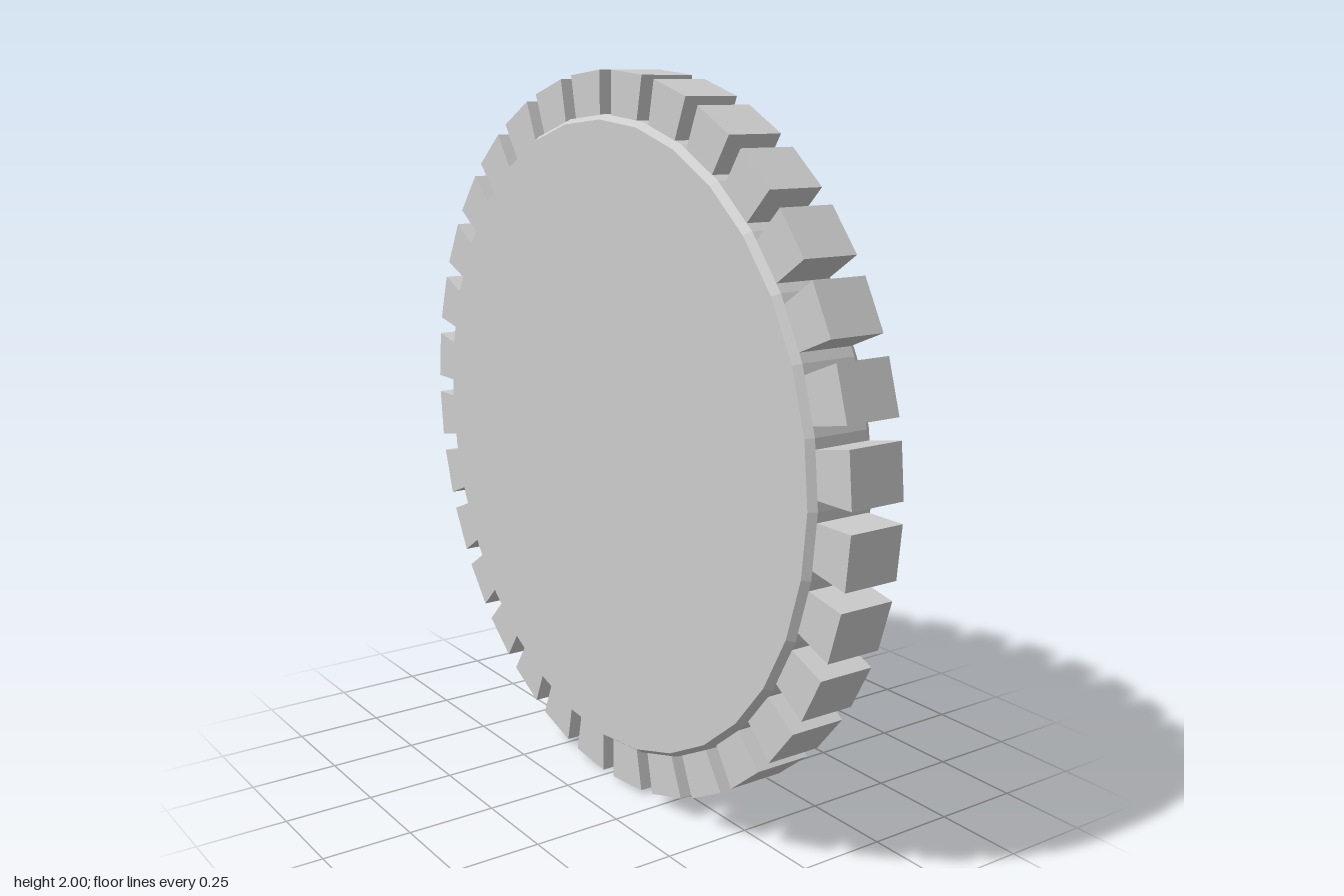
import * as THREE from 'three';

const TEETH = 32;
const material = new THREE.MeshStandardMaterial({ color: 0xcccccc, flatShading: true });

function addMesh(parent, name, geometry) {
  const mesh = new THREE.Mesh(geometry, material);
  mesh.name = name;
  parent.add(mesh);
  return mesh;
}

// Disc with chamfered rim and a ring groove in its outer (+x) face
function discGeometry() {
  const profile = [
    [0, -0.13], [0.872, -0.13], [0.886, -0.11], [0.886, 0.05], [0.872, 0.07],
    [0.605, 0.07], [0.575, 0.01], [0.525, 0.01], [0.47, 0.07], [0, 0.07],
  ].map(([r, h]) => new THREE.Vector2(r, h));
  return new THREE.LatheGeometry(profile, TEETH).rotateZ(-Math.PI / 2);
}

// One tooth pointing up, slightly wider at its tip
function toothGeometry() {
  const shape = new THREE.Shape([
    new THREE.Vector2(-0.058, 0.86), new THREE.Vector2(0.058, 0.86),
    new THREE.Vector2(0.071, 0.998), new THREE.Vector2(-0.071, 0.998),
  ]);
  return new THREE.ExtrudeGeometry(shape, { depth: 0.16, bevelEnabled: false })
    .translate(0, 0, -0.11)
    .rotateY(Math.PI / 2);
}

// Fluted, tapered hub: every second pair of rim points is pulled in
function hubGeometry() {
  const segments = 64;
  const geometry = new THREE.CylinderGeometry(0.13, 0.14, 0.06, segments);
  const p = geometry.attributes.position;
  for (let i = 0; i < p.count; i++) {
    const k = Math.round((Math.atan2(p.getX(i), p.getZ(i)) / (2 * Math.PI)) * segments) + segments;
    const s = k % 4 < 2 ? 1 : 0.91;
    p.setXYZ(i, p.getX(i) * s, p.getY(i), p.getZ(i) * s);
  }
  geometry.computeVertexNormals();
  return geometry.rotateZ(-Math.PI / 2).translate(0.1, 0, 0);
}

export function createModel() {
  const model = new THREE.Group();
  model.name = 'toothedWheel';

  const wheel = new THREE.Group();
  wheel.name = 'wheel';
  wheel.position.y = 1;
  model.add(wheel);

  addMesh(wheel, 'disc', discGeometry());
  addMesh(wheel, 'hub', hubGeometry());

  // Teeth sit on the middle of each rim facet
  const teeth = new THREE.Group();
  teeth.name = 'teeth';
  wheel.add(teeth);
  const tooth = toothGeometry();
  for (let i = 0; i < TEETH; i++) {
    addMesh(teeth, 'tooth', tooth).rotation.x = ((i + 0.5) / TEETH) * Math.PI * 2;
  }
  return model;
}
